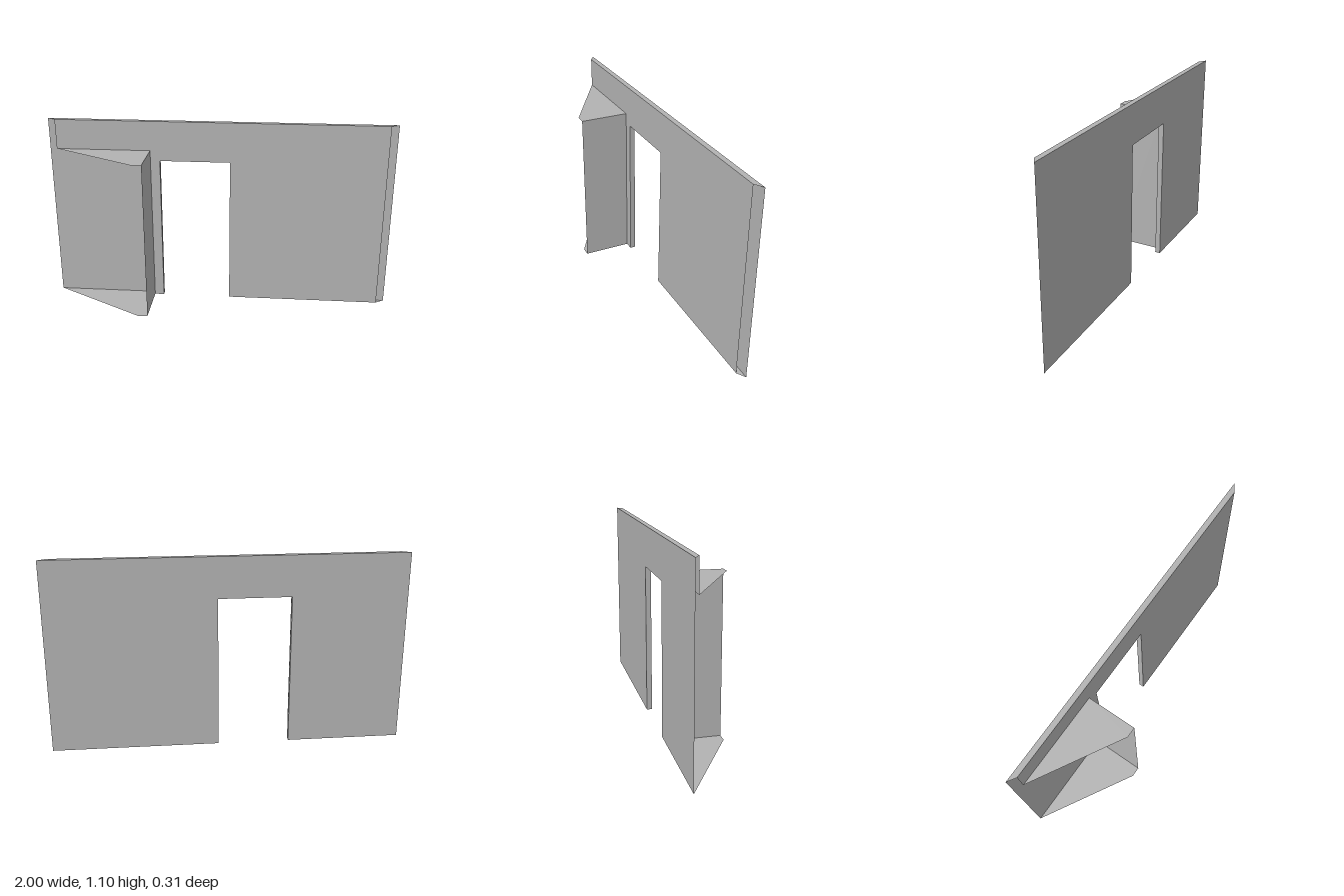
import * as THREE from 'three';

// Flat sheet facing along an axis. Points are [x,y] for z, [x,z] for y, [z,y] for x sheets.
const facing = {
  '+z': { rot: [0, 0, 0], flip: [1, 1] },
  '-z': { rot: [0, Math.PI, 0], flip: [-1, 1] },
  '+y': { rot: [-Math.PI / 2, 0, 0], flip: [1, -1] },
  '-y': { rot: [Math.PI / 2, 0, 0], flip: [1, 1] },
  '+x': { rot: [0, Math.PI / 2, 0], flip: [-1, 1] },
  '-x': { rot: [0, -Math.PI / 2, 0], flip: [1, 1] },
};

export function createModel() {
  const group = new THREE.Group();
  const plaster = new THREE.MeshStandardMaterial({ color: 0xb2b2b2, side: THREE.DoubleSide });
  plaster.name = 'plasterGrey';

  const sheet = (name, dir, at, points) => {
    const { rot, flip } = facing[dir];
    const shape = new THREE.Shape(points.map(([a, b]) => new THREE.Vector2(a * flip[0], b * flip[1])));
    const geometry = new THREE.ShapeGeometry(shape);
    geometry.rotateX(rot[0]).rotateY(rot[1]);
    const mesh = new THREE.Mesh(geometry, plaster);
    mesh.name = name;
    mesh.position[dir[1]] = at;
    group.add(mesh);
  };
  const rect = (a0, b0, a1, b1) => [[a0, b0], [a1, b0], [a1, b1], [a0, b1]];

  const H = 1.1, doorH = 0.867, doorL = -0.35, doorR = 0.057;
  const back = -0.157, front = -0.126, end = 0.953;
  const boxX = -0.405, boxH = 0.927, boxZ = 0.157, boxTip = -0.463;

  // Wall faces around the doorway; the front one is cut away behind the wedge box
  sheet('wallBack', '-z', back, [[-1, 0], [doorL, 0], [doorL, doorH], [doorR, doorH],
    [doorR, 0], [1, 0], [1, H], [-1, H]]);
  sheet('wallFront', '+z', front, [[boxX, 0], [doorL, 0], [doorL, doorH], [doorR, doorH],
    [doorR, 0], [end, 0], [end, H], [-end, H], [-end, boxH], [boxX, boxH]]);

  // Wall top with mitred, open ends
  sheet('wallTop', '+y', H, [[-1, back], [1, back], [end, front], [-end, front]]);

  // Doorway reveals
  sheet('doorJambRight', '+x', doorL, rect(back, 0, front, doorH));
  sheet('doorJambLeft', '-x', doorR, rect(back, 0, front, doorH));
  sheet('doorHead', '-y', doorH, rect(doorL, back, doorR, front));

  // Undersides; the right one includes the wedge floor
  sheet('wallBaseLeft', '-y', 0, [[doorR, back], [1, back], [end, front], [doorR, front]]);
  sheet('wallBaseRight', '-y', 0, [[-1, back], [doorL, back], [doorL, front], [boxX, front],
    [boxX, boxZ], [boxTip, boxZ]]);

  // Wedge box, open along its slanted side
  sheet('wedgeTop', '+y', boxH, [[-end, front], [boxX, front], [boxX, boxZ], [boxTip, boxZ]]);
  sheet('wedgeSide', '+x', boxX, rect(front, 0, boxZ, boxH));

  return group;
}
